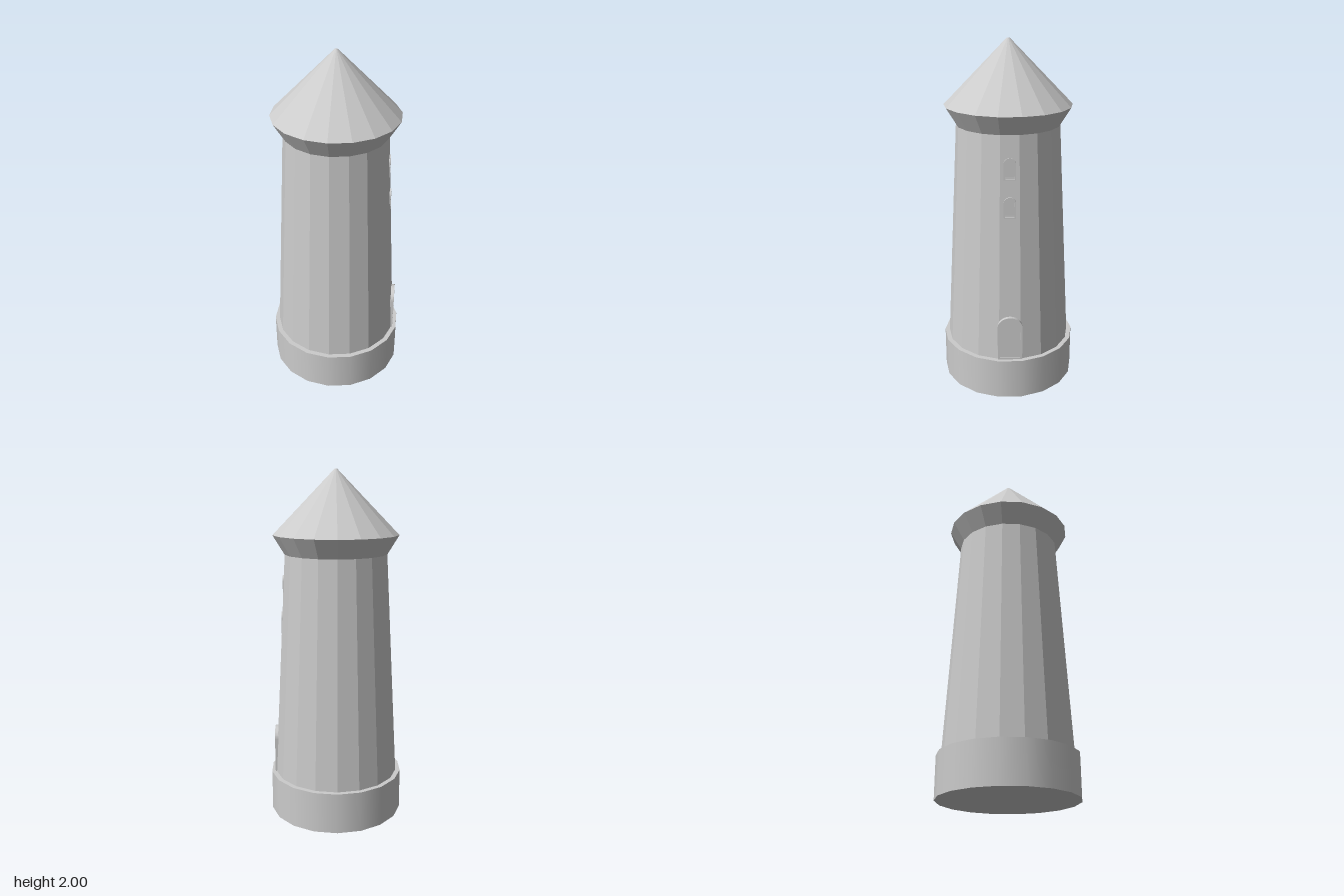
import * as THREE from 'three';

const SIDES = 18;
const START = THREE.MathUtils.degToRad(3.3);
const FACE = START + (5.5 * Math.PI * 2) / SIDES; // wall facet carrying the door and windows
const BASE_TOP = 0.238, WALL_TOP = 1.535, R_LOW = 0.363, R_HIGH = 0.292;

const smooth = new THREE.MeshStandardMaterial({ color: 0xcccccc });
const faceted = new THREE.MeshStandardMaterial({ color: 0xcccccc, flatShading: true });

// Distance from the axis to the middle of a wall facet at height y
function wallDistance(y) {
  const t = (y - BASE_TOP) / (WALL_TOP - BASE_TOP);
  return THREE.MathUtils.lerp(R_LOW, R_HIGH, t) * Math.cos(Math.PI / SIDES);
}

// Ring section of the tower between two heights
function section(name, rBottom, rTop, y0, y1, material, open = false) {
  const geo = new THREE.CylinderGeometry(rTop, rBottom, y1 - y0, SIDES, 1, open, START);
  const mesh = new THREE.Mesh(geo, material);
  mesh.position.y = (y0 + y1) / 2;
  mesh.name = name;
  return mesh;
}

// Outline with straight jambs and an arched head, inset by a margin
function archOutline(Type, width, height, rise, inset) {
  const w = width / 2 - inset;
  const path = new Type();
  path.moveTo(-w, inset);
  path.lineTo(w, inset);
  path.lineTo(w, height - rise);
  path.absellipse(0, height - rise, w, rise - inset, 0, Math.PI, false);
  path.lineTo(-w, inset);
  return path;
}

// Upright arched frame with a recessed panel, its back sunk in the wall
function archedOpening(name, width, height, rise, border, y, proud, recess) {
  const group = new THREE.Group();
  const depth = 0.04;
  const options = { depth, bevelEnabled: false, curveSegments: 10 };
  const frameShape = archOutline(THREE.Shape, width, height, rise, 0);
  frameShape.holes.push(archOutline(THREE.Path, width, height, rise, border));
  const frame = new THREE.Mesh(new THREE.ExtrudeGeometry(frameShape, options), faceted);
  frame.name = name + 'Frame';
  const panelShape = archOutline(THREE.Shape, width, height, rise, border);
  const panel = new THREE.Mesh(new THREE.ExtrudeGeometry(panelShape, options), faceted);
  panel.name = name + 'Panel';
  panel.position.z = -recess;
  group.add(frame, panel);
  const d = wallDistance(y) + proud - depth;
  group.position.set(Math.sin(FACE) * d, y, Math.cos(FACE) * d);
  group.rotation.y = FACE;
  group.name = name;
  return group;
}

export function createModel() {
  const tower = new THREE.Group();
  tower.name = 'tower';

  // Plinth and tapering wall
  tower.add(section('base', 0.39, 0.39, 0, BASE_TOP, smooth));
  tower.add(section('wall', R_LOW, R_HIGH, BASE_TOP, WALL_TOP, faceted, true));

  // Flared eaves and conical roof with a tiny blunt tip
  tower.add(section('eaves', R_HIGH, 0.358, WALL_TOP, 1.643, faceted, true));
  tower.add(section('roof', 0.358, 0.008, 1.643, 2, faceted));

  // Door at the foot, two small windows above it
  tower.add(archedOpening('door', 0.14, 0.265, 0.06, 0.012, BASE_TOP, 0.006, 0.006));
  tower.add(archedOpening('lowerWindow', 0.066, 0.12, 0.03, 0.007, 1.08, 0.002, 0.003));
  tower.add(archedOpening('upperWindow', 0.066, 0.12, 0.03, 0.007, 1.293, 0.002, 0.003));

  return tower;
}
